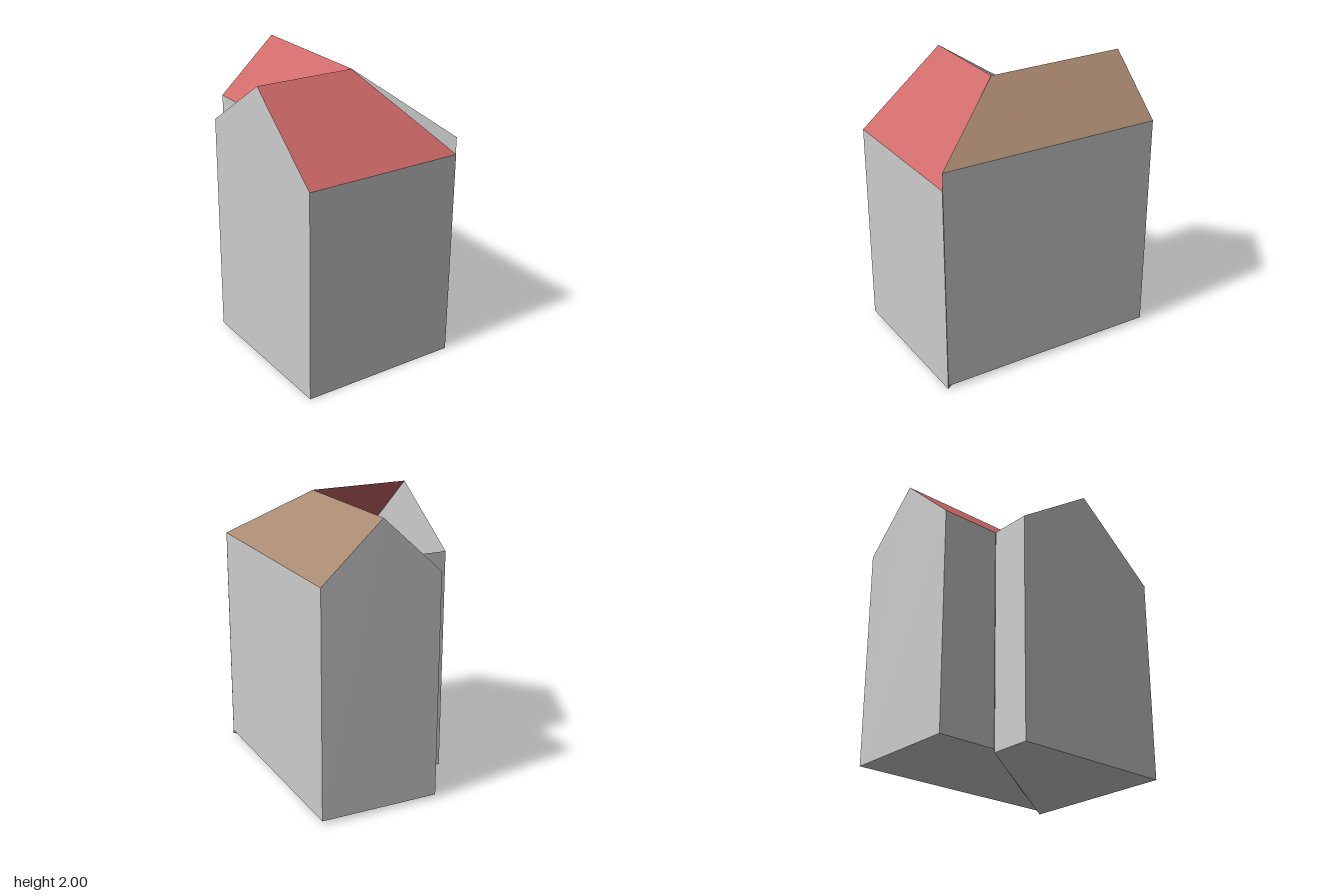
import * as THREE from 'three';

const mat = (name, color) => {
  const m = new THREE.MeshStandardMaterial({ color, side: THREE.DoubleSide });
  m.name = name;
  return m;
};

// Flat convex panel, corners listed counter-clockwise from outside
function panel(name, corners, material) {
  const pos = [];
  for (let i = 1; i < corners.length - 1; i++) {
    pos.push(...corners[0], ...corners[i], ...corners[i + 1]);
  }
  const g = new THREE.BufferGeometry();
  g.setAttribute('position', new THREE.Float32BufferAttribute(pos, 3));
  g.computeVertexNormals();
  const mesh = new THREE.Mesh(g, material);
  mesh.name = name;
  return mesh;
}

// Plan point [x, z] raised to height y
const at = ([x, z], y) => [x, y, z];

// Upright wall between two plan points with its own top heights
const wall = (name, p, q, base, topP, topQ, material) =>
  panel(name, [at(p, base), at(q, base), at(q, topQ), at(p, topP)], material);

// Gable end with its peak at plan point r
const gable = (name, p, r, q, base, eaveP, peak, eaveQ, material) =>
  panel(name, [at(p, base), at(q, base), at(q, eaveQ), at(r, peak), at(p, eaveP)], material);

export function createModel() {
  const grey = mat('wall grey', 0xcccccc);
  const red = mat('roof red', 0xcd6868);
  const brown = mat('roof brown', 0xa88870);
  const model = new THREE.Group();
  model.name = 'house';

  // Front wing: its rear roof slope is open
  const A = [-0.55, 0.845], B = [0.605, 0.785], E = [-0.31, -0.365], F = [-0.605, -0.352];
  const L = [-0.578, 0.235], R = [0.145, 0.2];
  const low = 1.49, high = 1.61, top = 2, ridgeEnd = 1.995;
  const front = new THREE.Group();
  front.name = 'frontWing';
  front.add(
    panel('frontFloor', [A, F, E, B].map(p => at(p, 0)), grey),
    wall('frontWall', A, B, 0, low, low, grey),
    wall('innerWall', E, F, 0, high, high, grey),
    gable('leftGable', F, L, A, 0, high, top, low, grey),
    wall('outerMitreWall', B, R, 0, low, ridgeEnd, brown),
    wall('innerMitreWall', R, E, 0, ridgeEnd, high, grey),
    panel('frontRoof', [at(A, low), at(B, low), at(R, ridgeEnd), at(L, top)], red),
  );

  // Rear wing: slightly raised, closed on all sides
  const B2 = [0.605, 0.782], C = [0.525, -0.845], D = [-0.33, -0.805], E2 = [-0.308, -0.367];
  const R2 = [0.15, 0.2], K = [0.098, -0.826];
  const base = 0.025;
  const rear = new THREE.Group();
  rear.name = 'rearWing';
  rear.add(
    panel('rearFloor', [B2, E2, D, C].map(p => at(p, base)), grey),
    wall('rightWall', B2, C, base, high, high, grey),
    gable('backGable', C, K, D, base, high, top, high, grey),
    wall('courtWall', D, E2, base, high, high, grey),
    wall('innerMitreWall', E2, R2, base, high, ridgeEnd, grey),
    wall('outerMitreWall', R2, B2, base, ridgeEnd, high, grey),
    panel('rightRoof', [at(B2, high), at(C, high), at(K, top), at(R2, ridgeEnd)], brown),
    panel('leftRoof', [at(D, high), at(E2, high), at(R2, ridgeEnd), at(K, top)], red),
  );

  model.add(front, rear);
  return model;
}
